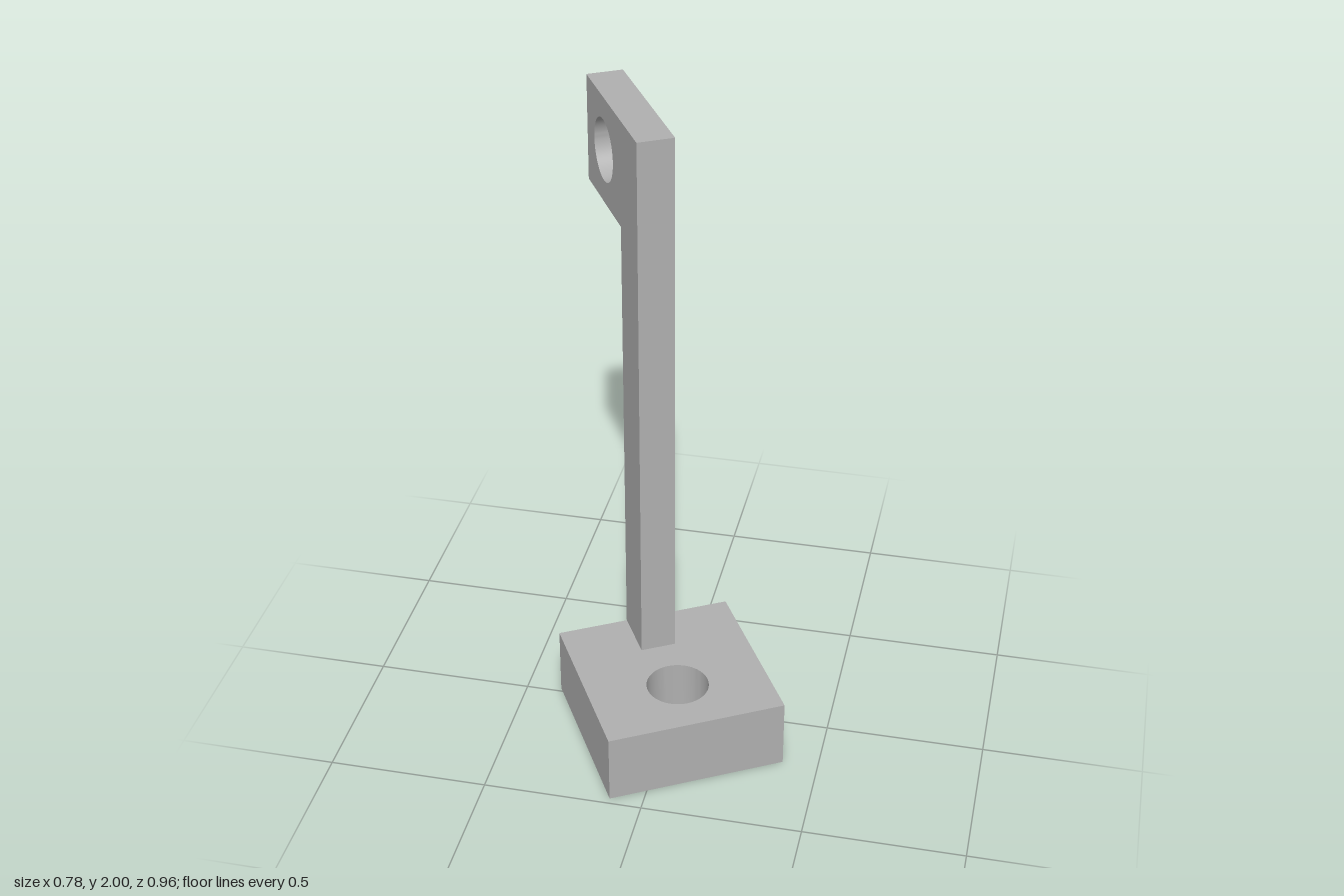
import * as THREE from 'three';
import { toCreasedNormals } from 'three/addons/utils/BufferGeometryUtils.js';

const HALF = 0.2845;     // half side of the square base
const BASE_H = 0.228;    // base thickness
const ARM_W = 0.113;     // arm thickness
const HOLE_R = 0.098;

// Extrudes an outline with one round hole, centred on its thickness
function plate(points, holeX, holeY, depth) {
  const shape = new THREE.Shape(points.map(([x, y]) => new THREE.Vector2(x, y)));
  const hole = new THREE.Path();
  hole.absarc(holeX, holeY, HOLE_R, 0, Math.PI * 2, true);
  shape.holes.push(hole);
  const geometry = new THREE.ExtrudeGeometry(shape, { depth, bevelEnabled: false, curveSegments: 32 });
  geometry.translate(0, 0, -depth / 2);
  return toCreasedNormals(geometry, Math.PI / 6);
}

export function createModel() {
  const model = new THREE.Group();
  model.name = 'bracket';
  const grey = new THREE.MeshStandardMaterial({ color: 0xb0b0b0 });
  grey.name = 'grey';

  // Square base with a vertical bolt hole
  const baseGeometry = plate(
    [[-HALF, -HALF], [HALF, -HALF], [HALF, HALF], [-HALF, HALF]], 0, -0.085, BASE_H);
  baseGeometry.rotateX(-Math.PI / 2);
  const base = new THREE.Mesh(baseGeometry, grey);
  base.name = 'base';
  base.position.y = BASE_H / 2;

  // Post and pierced head, one L-shaped plate; its post is flush with the back of the base
  const front = -0.117, back = -HALF, tip = -0.629, headBottom = 1.66;
  const armGeometry = plate(
    [[back, BASE_H], [front, BASE_H], [front, 2], [tip, 2], [tip, headBottom], [back, headBottom]],
    (tip + back) / 2, 1.83, ARM_W);
  armGeometry.rotateY(-Math.PI / 2);
  const arm = new THREE.Mesh(armGeometry, grey);
  arm.name = 'arm';

  // The whole bracket is turned about the vertical
  const turned = new THREE.Group();
  turned.name = 'turnedBracket';
  turned.add(base, arm);
  turned.rotation.y = Math.PI / 6;
  turned.position.z = 0.09;
  model.add(turned);
  return model;
}
